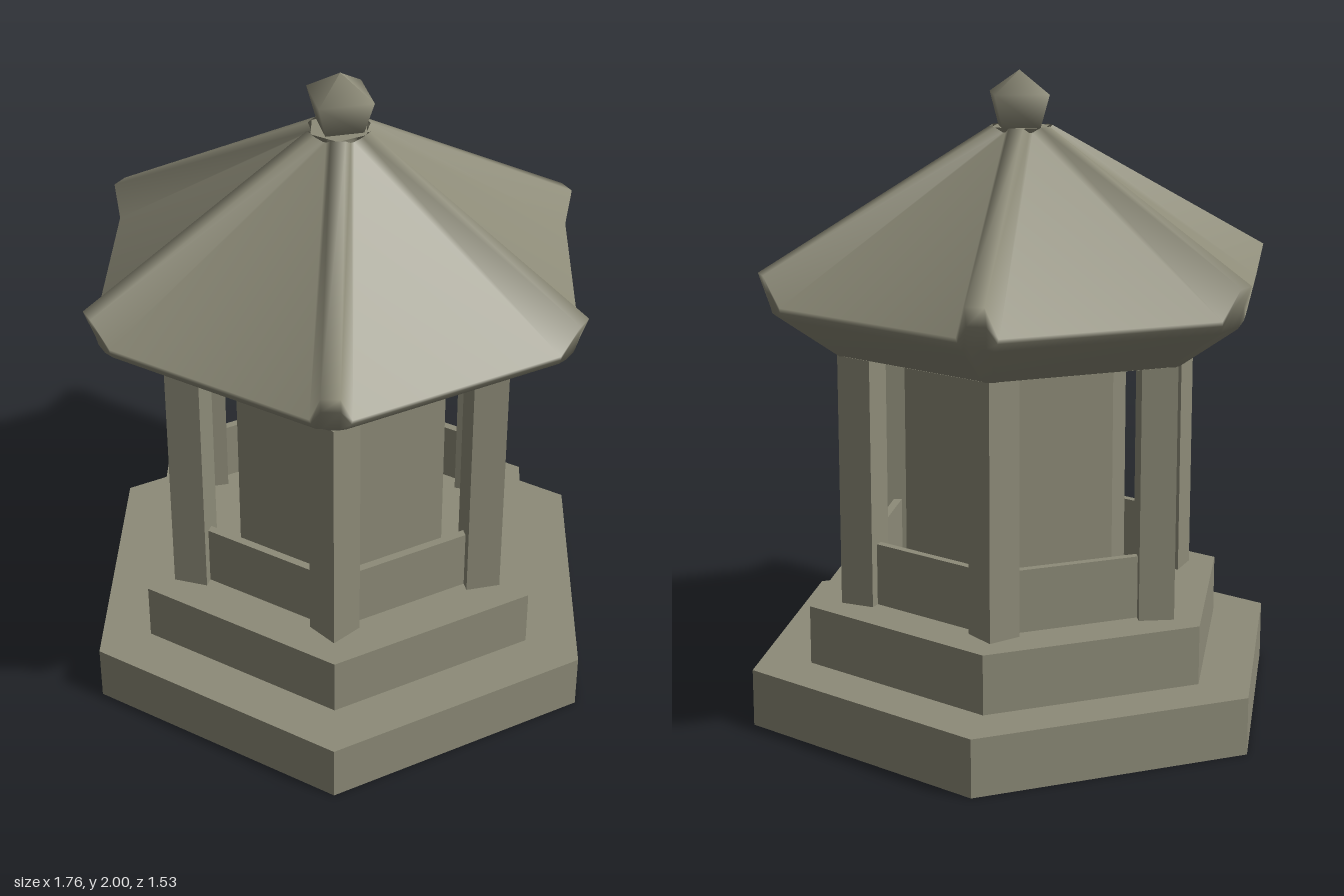
import * as THREE from 'three';

const stone = new THREE.MeshStandardMaterial({ color: 0x8d8b78, side: THREE.DoubleSide });
stone.name = 'stone';

function part(name, geometry, x = 0, y = 0, z = 0) {
  const mesh = new THREE.Mesh(geometry, stone);
  mesh.name = name;
  mesh.position.set(x, y, z);
  return mesh;
}

// Sharp-edged upright prism, open below, with a corner on the x axis by default
function prism(name, sides, radius, y0, y1, x = 0, z = 0, start = Math.PI / 2) {
  const profile = [[radius, y0], [radius, y1], [0, y1]].map(([r, y]) => new THREE.Vector2(r, y));
  const g = new THREE.LatheGeometry(profile, sides, start).toNonIndexed();
  g.computeVertexNormals();
  return part(name, g, x, 0, z);
}

function hexagon(Type, radius) {
  const points = [];
  for (let k = 0; k < 6; k++) {
    const a = (k * Math.PI) / 3;
    points.push(new THREE.Vector2(radius * Math.cos(a), radius * Math.sin(a)));
  }
  return new Type(points);
}

// Six-sided roof shell: raised ridges at the corners, lower panels sagging between them
function roofShell() {
  // ridge radius, ridge y, ridge half width, panel radius, panel y, panel start
  const rings = [
    [0.095, 1.83, 0.022, 0.095, 1.815, 0.042],
    [0.83, 1.42, 0.028, 0.825, 1.325, 0.07],
    [0.805, 1.36, 0.028, 0.82, 1.31, 0.065],
    [0.79, 1.295, 0.025, 0.8, 1.285, 0.05],
    [0.595, 1.155, 0.012, 0.595, 1.155, 0.03],
  ];
  const pos = [], index = [], count = 24;
  for (const [R, y, w, Rp, yp, s] of rings) {
    for (let k = 0; k < 6; k++) {
      const a = (k * Math.PI) / 3, c = Math.cos(a), n = Math.sin(a);
      const add = (u, t, h) => pos.push(u * c - t * n, h, -(u * n + t * c));
      add(Rp - s / 2, -s * 0.866, yp);
      add(R, -w, y);
      add(R, w, y);
      add(Rp - s / 2, s * 0.866, yp);
    }
  }
  for (let i = 0; i < rings.length - 1; i++) {
    for (let j = 0; j < count; j++) {
      const a = i * count + j, d = i * count + ((j + 1) % count);
      index.push(a, a + count, d, a + count, d + count, d);
    }
  }
  const g = new THREE.BufferGeometry();
  g.setAttribute('position', new THREE.Float32BufferAttribute(pos, 3));
  g.setIndex(index);
  g.computeVertexNormals();
  return g;
}

export function createModel() {
  const model = new THREE.Group();
  model.name = 'pavilion';
  const dx = -0.007, dz = 0.004;

  // Stepped base, hollow underneath
  model.add(prism('lowerStep', 6, 0.882, 0, 0.18));
  model.add(prism('upperStep', 6, 0.698, 0.18, 0.365, -0.003, 0.002));

  // Low parapet running between the columns
  const ring = hexagon(THREE.Shape, 0.53);
  ring.holes.push(hexagon(THREE.Path, 0.5));
  const parapet = new THREE.ExtrudeGeometry(ring, { depth: 0.195, bevelEnabled: false });
  model.add(part('parapet', parapet.rotateX(-Math.PI / 2), dx, 0.365, dz));

  // Inner chamber
  model.add(prism('chamber', 6, 0.373, 0.365, 1.156, -0.003, -0.008));

  // Square columns, each with an edge facing outward
  const columns = new THREE.Group();
  columns.name = 'columns';
  for (let k = 0; k < 6; k++) {
    const a = (k * Math.PI) / 3;
    columns.add(prism('column', 4, 0.077, 0.365, 1.156,
      dx + 0.522 * Math.cos(a), dz - 0.522 * Math.sin(a), a + Math.PI / 2));
  }
  model.add(columns);

  // Roof with flat caps
  const roof = new THREE.Group();
  roof.name = 'roof';
  roof.position.set(-0.01, 0, 0);
  roof.add(part('roofShell', roofShell()));
  roof.add(part('roofUnderside', new THREE.CircleGeometry(0.597, 6).rotateX(Math.PI / 2), 0, 1.155, 0));
  roof.add(part('roofTop', new THREE.CircleGeometry(0.095, 6).rotateX(-Math.PI / 2), 0, 1.828, 0));
  model.add(roof);

  // Four-sided finial
  const profile = [[0, 1.825], [0.082, 1.825], [0.118, 1.93], [0, 2]].map(([r, y]) => new THREE.Vector2(r, y));
  model.add(part('finial', new THREE.LatheGeometry(profile, 4), -0.012, 0, -0.01));

  return model;
}
